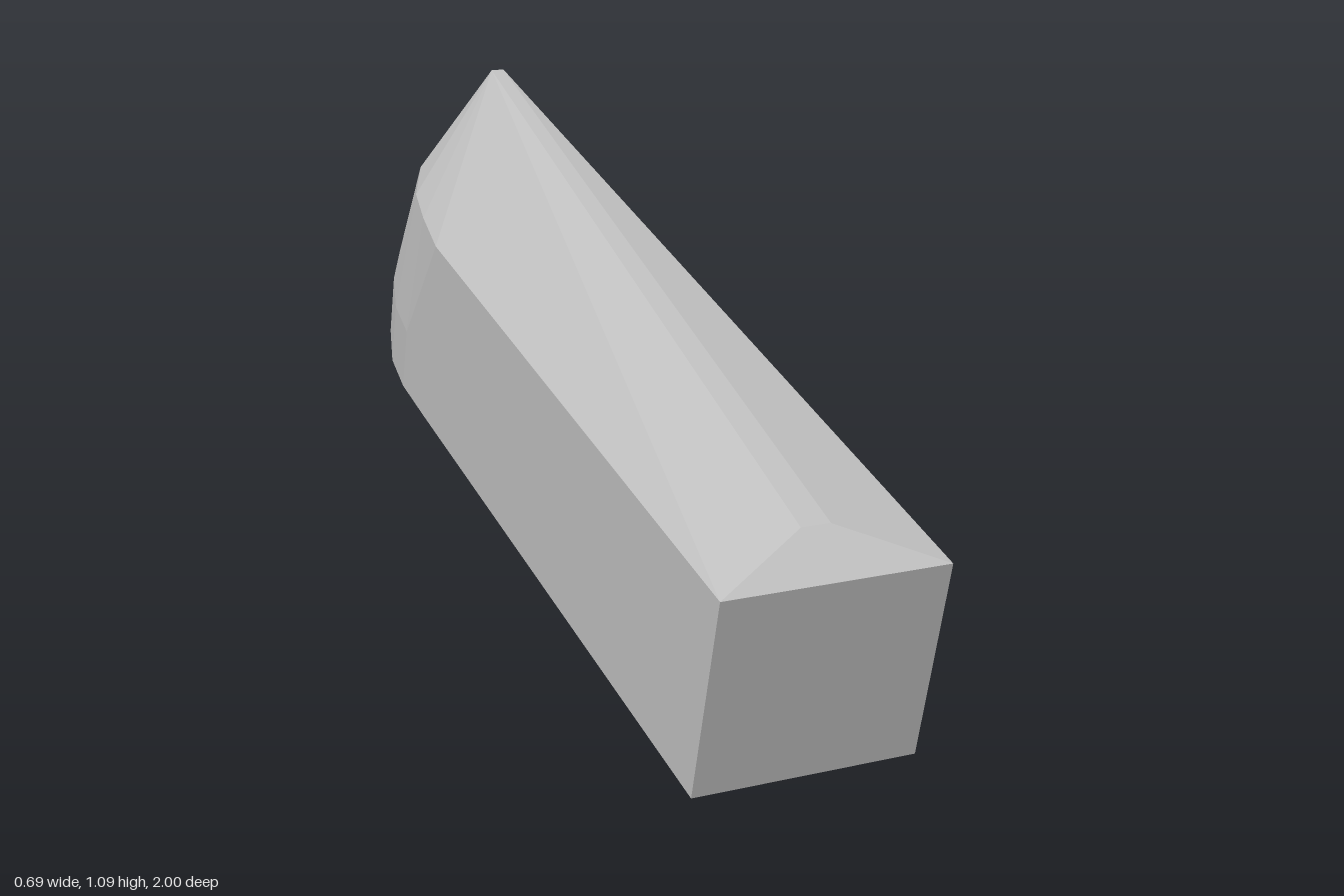
import * as THREE from 'three';

export function createModel() {
  const grey = new THREE.MeshStandardMaterial({ color: 0xbfbfbf });
  grey.name = 'plain grey';
  grey.flatShading = true;

  // Stations from front to rear: [z, half width at base, half width at eave]
  const stations = [
    [0, 0.23, 0.23], [-1.39, 0.243, 0.243], [-1.53, 0.243, 0.222],
    [-1.65, 0.228, 0.197], [-1.79, 0.185, 0.137], [-1.925, 0.124, 0.012],
  ];
  const base = stations.map(([z, b]) => [b, 0, z]);
  const mid = stations.map(([z, b], i) => [i < 2 ? stations[i][2] : b, 0.14, z]);
  const eave = stations.map(([z, , e]) => [e, 0.421, z]);
  const ridge = [0.03, 0.474, -0.103];
  const apex = [0.014, 0.684, -1.709];
  const flip = ([x, y, z]) => [-x, y, z];
  const last = stations.length - 1;

  // Collects convex polygons as flat triangles
  const surface = (name) => {
    const pos = [];
    const face = (...p) => {
      for (let i = 1; i < p.length - 1; i++) pos.push(...p[0], ...p[i], ...p[i + 1]);
    };
    const both = (...p) => {
      face(...p);
      face(...p.map(flip).reverse());
    };
    const finish = () => {
      const g = new THREE.BufferGeometry();
      g.setAttribute('position', new THREE.Float32BufferAttribute(pos, 3));
      g.computeVertexNormals();
      const mesh = new THREE.Mesh(g, grey);
      mesh.name = name;
      return mesh;
    };
    return { face, both, finish };
  };

  // Walls, underside and the two ends
  const body = surface('body');
  for (let i = 0; i < last; i++) {
    body.both(base[i], base[i + 1], mid[i + 1], mid[i]);
    body.both(mid[i], mid[i + 1], eave[i + 1], eave[i]);
    body.face(flip(base[i + 1]), base[i + 1], base[i], flip(base[i]));
  }
  body.face(flip(base[0]), base[0], eave[0], flip(eave[0]));
  body.face(base[last], flip(base[last]), flip(mid[last]), flip(eave[last]), eave[last], mid[last]);

  // Faceted roof: hipped front, narrow ridge and a fan around the peak
  const roof = surface('roof');
  for (let i = 0; i < last; i++) roof.both(eave[i], eave[i + 1], apex);
  roof.both(eave[0], apex, ridge);
  roof.face(flip(eave[0]), eave[0], ridge, flip(ridge));
  roof.face(flip(ridge), ridge, apex, flip(apex));
  roof.face(flip(apex), apex, eave[last], flip(eave[last]));

  // Tilt the block so that it rests on its lower front edge
  const block = new THREE.Group();
  block.name = 'tiltedBlock';
  block.add(body.finish(), roof.finish());
  block.rotation.set(0.25, 0.139, 0, 'YXZ');
  block.position.set(0.102, 0, 0.868);

  const model = new THREE.Group();
  model.name = 'facetedBlock';
  model.add(block);
  return model;
}
